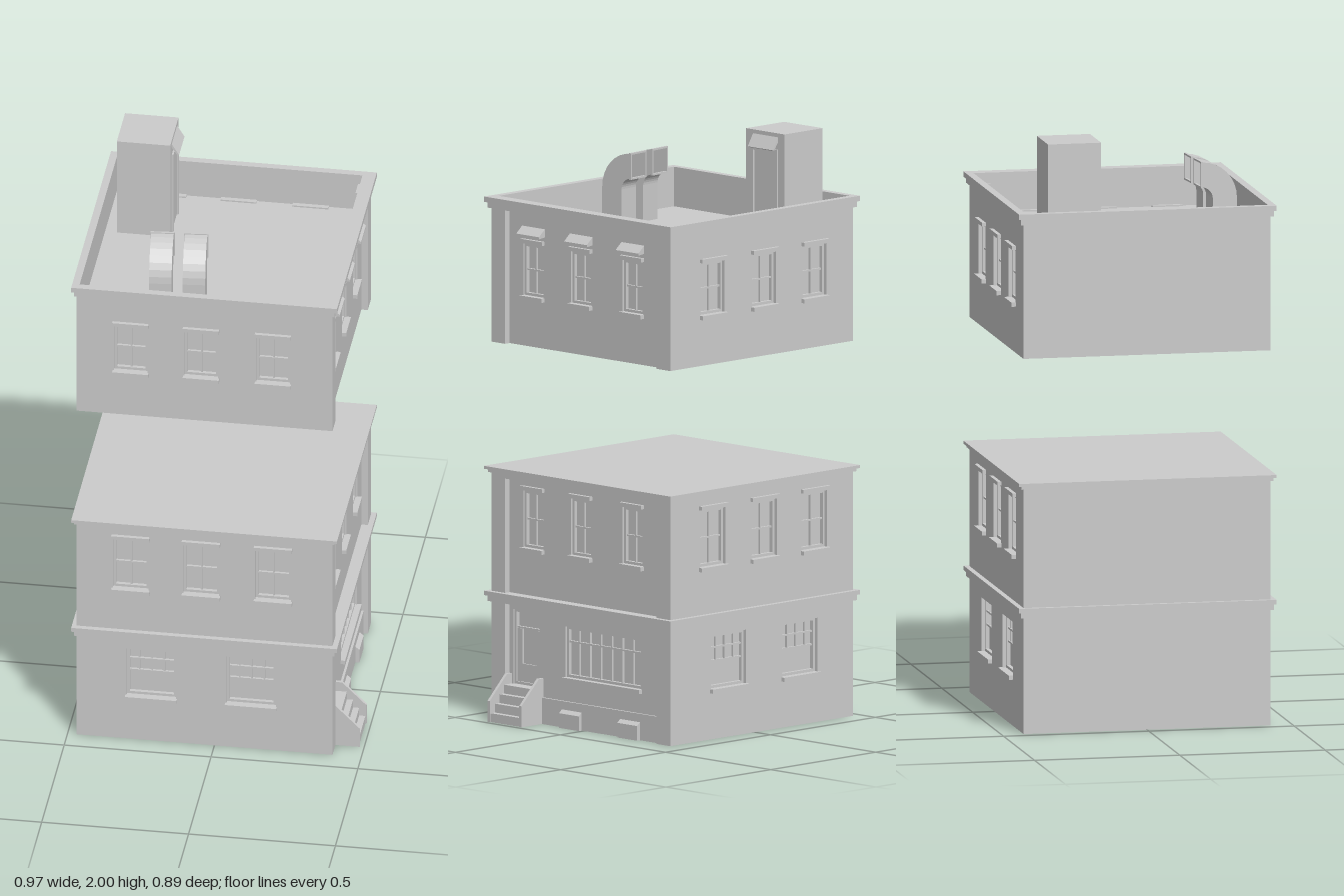
import * as THREE from 'three';

const mat = new THREE.MeshStandardMaterial({ color: 0xcccccc, flatShading: true });
const openMat = new THREE.MeshStandardMaterial({ color: 0xcccccc, flatShading: true, side: THREE.DoubleSide });

function add(parent, name, geometry, material = mat) {
  const m = new THREE.Mesh(geometry, material);
  m.name = name;
  parent.add(m);
  return m;
}

// Box given by its bounds
function box(parent, name, x0, x1, y0, y1, z0, z1) {
  const g = new THREE.BoxGeometry(x1 - x0, y1 - y0, z1 - z0);
  g.translate((x0 + x1) / 2, (y0 + y1) / 2, (z0 + z1) / 2);
  return add(parent, name, g);
}

function rect(T, x0, x1, y0, y1) {
  const p = new T();
  p.moveTo(x0, y0); p.lineTo(x1, y0); p.lineTo(x1, y1); p.lineTo(x0, y1); p.closePath();
  return p;
}

// Profile in x/y, extruded from z0 to z1
function prism(parent, name, pts, z0, z1) {
  const s = new THREE.Shape(pts.map(([x, y]) => new THREE.Vector2(x, y)));
  const g = new THREE.ExtrudeGeometry(s, { depth: z1 - z0, bevelEnabled: false });
  g.translate(0, 0, z0);
  return add(parent, name, g);
}

// Rectangular ring round the roof opening
function ring(parent, name, x0, x1, z, y0, y1) {
  const s = rect(THREE.Shape, x0, x1, -z, z);
  s.holes.push(rect(THREE.Path, -0.46, 0.375, -0.417, 0.417));
  const g = new THREE.ExtrudeGeometry(s, { depth: y1 - y0, bevelEnabled: false });
  g.rotateX(-Math.PI / 2).translate(0, y0, 0);
  return add(parent, name, g);
}

// Frame and glazing bars; rows are fractions of the height
function glazing(parent, o, name) {
  const { u, w, v0, v1, cols, rows, split = 0 } = o;
  const g = new THREE.Group();
  g.name = name;
  parent.add(g);
  const a = u - w / 2, b = u + w / 2, t = 0.009, h = v1 - v0;
  box(g, 'frameSide', a, a + t, v0, v1, 0, 0.013);
  box(g, 'frameSide', b - t, b, v0, v1, 0, 0.013);
  box(g, 'frameBottom', a, b, v0, v0 + t, 0, 0.013);
  box(g, 'frameTop', a, b, v1 - t, v1, 0, 0.013);
  for (let i = 1; i < cols; i++) {
    const c = a + (w * i) / cols;
    box(g, 'upright', c - 0.0025, c + 0.0025, v0 + split * h, v1, 0, 0.008);
  }
  for (const r of rows) box(g, 'crossbar', a, b, v0 + r * h - 0.003, v0 + r * h + 0.003, 0, 0.009);
}

// Wall with window openings, drawn facing +z and standing on its back plane
function facade(parent, name, u0, u1, v0, v1, depth, openings) {
  const g = new THREE.Group();
  g.name = name;
  parent.add(g);
  const s = rect(THREE.Shape, u0, u1, v0, v1);
  for (const o of openings) s.holes.push(rect(THREE.Path, o.u - o.w / 2, o.u + o.w / 2, o.v0, o.v1));
  add(g, 'wall', new THREE.ExtrudeGeometry(s, { depth, bevelEnabled: false }));
  for (const o of openings) {
    glazing(g, o, o.name || 'window');
    const a = o.u - o.w / 2 - 0.004, b = o.u + o.w / 2 + 0.004;
    if (o.sill) box(g, 'sill', a, b, o.v0 - 0.014, o.v0, 0, depth + 0.015);
    if (o.lintel) box(g, 'lintel', a, b, o.v1 + 0.004, o.v1 + 0.017, 0, depth + 0.013);
  }
  return g;
}

const sash = (u, w, v0, v1) => ({ u, w, v0, v1, cols: 2, rows: [0.5], sill: true, lintel: true });
const wide = (u) => ({ u, w: 0.168, v0: 0.172, v1: 0.355, cols: 4, rows: [0.5, 0.75], split: 0.5, sill: true });
const FRONT_U = [-0.285, -0.045, 0.2];
const SIDE_U = [-0.247, -0.02, 0.225];

// Front and back walls share x positions, so the back wall mirrors u
function frontAndBack(parent, v0, v1, openings) {
  facade(parent, 'frontWall', -0.47, 0.4, v0, v1, 0.025, openings).position.z = 0.4;
  const back = facade(parent, 'backWall', -0.4, 0.47, v0, v1, 0.025, openings.map((o) => ({ ...o, u: -o.u })));
  back.position.z = -0.4;
  back.rotation.y = Math.PI;
}

function sideWall(parent, v0, v1, openings) {
  const side = facade(parent, 'entranceWall', -0.4, 0.4, v0, v1, 0.02, openings);
  side.position.x = 0.36;
  side.rotation.y = Math.PI / 2;
  return side;
}

function pilasters(parent, y0, y1) {
  for (const s of [-1, 1]) {
    const [a, b] = [0.36 * s, 0.425 * s].sort((p, q) => p - q);
    box(parent, 'pilaster', 0.36, 0.402, y0, y1, a, b);
  }
}

function lowerStoreys() {
  const g = new THREE.Group();
  g.name = 'lowerStoreys';
  box(g, 'core', -0.47, 0.36, 0, 0.845, -0.4, 0.4);
  frontAndBack(g, 0, 0.845, [wide(-0.215), wide(0.125), ...FRONT_U.map((u) => sash(u, 0.122, 0.592, 0.785))]);
  const side = sideWall(g, 0, 0.845, [
    { name: 'shopWindow', u: 0.085, w: 0.36, v0: 0.172, v1: 0.345, cols: 7, rows: [0.7], sill: true },
    { name: 'doorway', u: -0.278, w: 0.13, v0: 0.12, v1: 0.375, cols: 1, rows: [0.76] },
    ...SIDE_U.map((u) => sash(u, 0.097, 0.592, 0.785)),
  ]);
  // Door leaf
  box(side, 'doorStile', -0.334, -0.312, 0.12, 0.31, 0, 0.008);
  box(side, 'doorStile', -0.244, -0.222, 0.12, 0.31, 0, 0.008);
  box(side, 'doorLowerPanel', -0.312, -0.244, 0.12, 0.19, 0, 0.006);
  pilasters(g, 0, 0.845);
  box(g, 'fascia', 0.36, 0.402, 0.82, 0.845, -0.425, 0.425);
  box(g, 'plinth', 0.36, 0.388, 0, 0.09, -0.36, 0.2);
  for (const z of [0.057, -0.22]) {
    prism(g, 'basementHatch', [[0.38, 0], [0.402, 0], [0.402, 0.05], [0.38, 0.068]], z - 0.047, z + 0.047);
  }
  // Belt course and top cornice
  box(g, 'beltLower', -0.477, 0.41, 0.395, 0.415, -0.435, 0.435);
  box(g, 'beltUpper', -0.485, 0.42, 0.415, 0.43, -0.443, 0.443);
  box(g, 'topMoulding', -0.477, 0.41, 0.835, 0.846, -0.434, 0.434);
  box(g, 'topSlab', -0.485, 0.42, 0.846, 0.856, -0.443, 0.443);
  // Entrance stairs between two sloping cheeks
  for (const z of [0.199, 0.35]) {
    prism(g, 'stairCheek', [[0.38, 0], [0.485, 0], [0.485, 0.072], [0.402, 0.155], [0.38, 0.155]], z, z + 0.011);
  }
  for (let i = 0; i < 4; i++) {
    box(g, 'step', 0.38, 0.481 - i * 0.021, i * 0.03, (i + 1) * 0.03, 0.21, 0.35);
  }
  return g;
}

// Curved rectangular duct, open at the mouth
function ventGeometry() {
  const w = 0.038, stations = [[0.04, -0.125, 0.125, -0.125]];
  for (let i = 0; i <= 8; i++) {
    const a = (i / 8) * Math.PI / 2, c = Math.cos(a), s = Math.sin(a);
    stations.push([0.04 * c, 0.04 * s, 0.125 * c, 0.125 * s]);
  }
  const pos = [], idx = [];
  for (const [zi, yi, zo, yo] of stations) pos.push(-w, yi, zi, w, yi, zi, w, yo, zo, -w, yo, zo);
  for (let i = 0; i < stations.length - 1; i++) {
    for (let k = 0; k < 4; k++) {
      const a = i * 4 + k, b = i * 4 + (k + 1) % 4;
      idx.push(a, a + 4, b, b, a + 4, b + 4);
    }
  }
  const g = new THREE.BufferGeometry();
  g.setAttribute('position', new THREE.Float32BufferAttribute(pos, 3));
  g.setIndex(idx);
  g.computeVertexNormals();
  return g;
}

function upperStorey() {
  const g = new THREE.Group();
  g.name = 'upperStorey';
  box(g, 'core', -0.47, 0.36, 1.28, 1.64, -0.4, 0.4);
  frontAndBack(g, 1.28, 1.64, FRONT_U.map((u) => ({ ...sash(u, 0.115, 1.452, 1.628) })));
  const side = sideWall(g, 1.28, 1.64, SIDE_U.map((u) => sash(u, 0.097, 1.452, 1.628)));
  // Sloping hoods above the entrance-side windows
  for (const u of SIDE_U) {
    prism(side, 'windowHood', [[-0.02, 1.688], [-0.02, 1.66], [-0.048, 1.657], [-0.048, 1.664]], u - 0.054, u + 0.054)
      .rotation.y = 0;
    const hood = side.children[side.children.length - 1];
    hood.geometry.rotateY(Math.PI / 2);
  }
  pilasters(g, 1.28, 1.74);
  // Parapet and cornice
  ring(g, 'parapet', -0.47, 0.38, 0.425, 1.639, 1.74);
  box(g, 'fascia', 0.378, 0.402, 1.735, 1.745, -0.425, 0.425);
  ring(g, 'corniceLower', -0.477, 0.41, 0.435, 1.737, 1.757);
  ring(g, 'corniceUpper', -0.485, 0.42, 0.443, 1.757, 1.775);
  // Roof access hut with door and awning
  box(g, 'roofHut', -0.42, -0.238, 1.64, 2, -0.33, -0.147);
  for (const z of [-0.3, -0.187]) box(g, 'hutDoorJamb', -0.24, -0.232, 1.64, 1.945, z, z + 0.008);
  box(g, 'hutDoorHead', -0.24, -0.232, 1.932, 1.945, -0.3, -0.179);
  prism(g, 'hutAwning', [[-0.24, 1.99], [-0.24, 1.975], [-0.218, 1.942], [-0.213, 1.945]], -0.3, -0.18);
  // Curved roof vents
  for (const [x, z] of [[-0.206, 0.232], [-0.093, 0.222]]) {
    const vent = new THREE.Group();
    vent.name = 'roofVent';
    vent.position.set(x, 1.765, z);
    vent.rotation.y = 0.09;
    add(vent, 'duct', ventGeometry(), openMat);
    for (const s of [-1, 1]) box(vent, 'mouthSide', s * 0.038 - 0.003, s * 0.038 + 0.003, 0.037, 0.128, -0.003, 0.005);
    for (const y of [0.04, 0.125]) box(vent, 'mouthRail', -0.041, 0.041, y - 0.003, y + 0.003, -0.003, 0.005);
    g.add(vent);
  }
  return g;
}

export function createModel() {
  const model = new THREE.Group();
  model.name = 'building';
  model.add(lowerStoreys(), upperStorey());
  return model;
}
